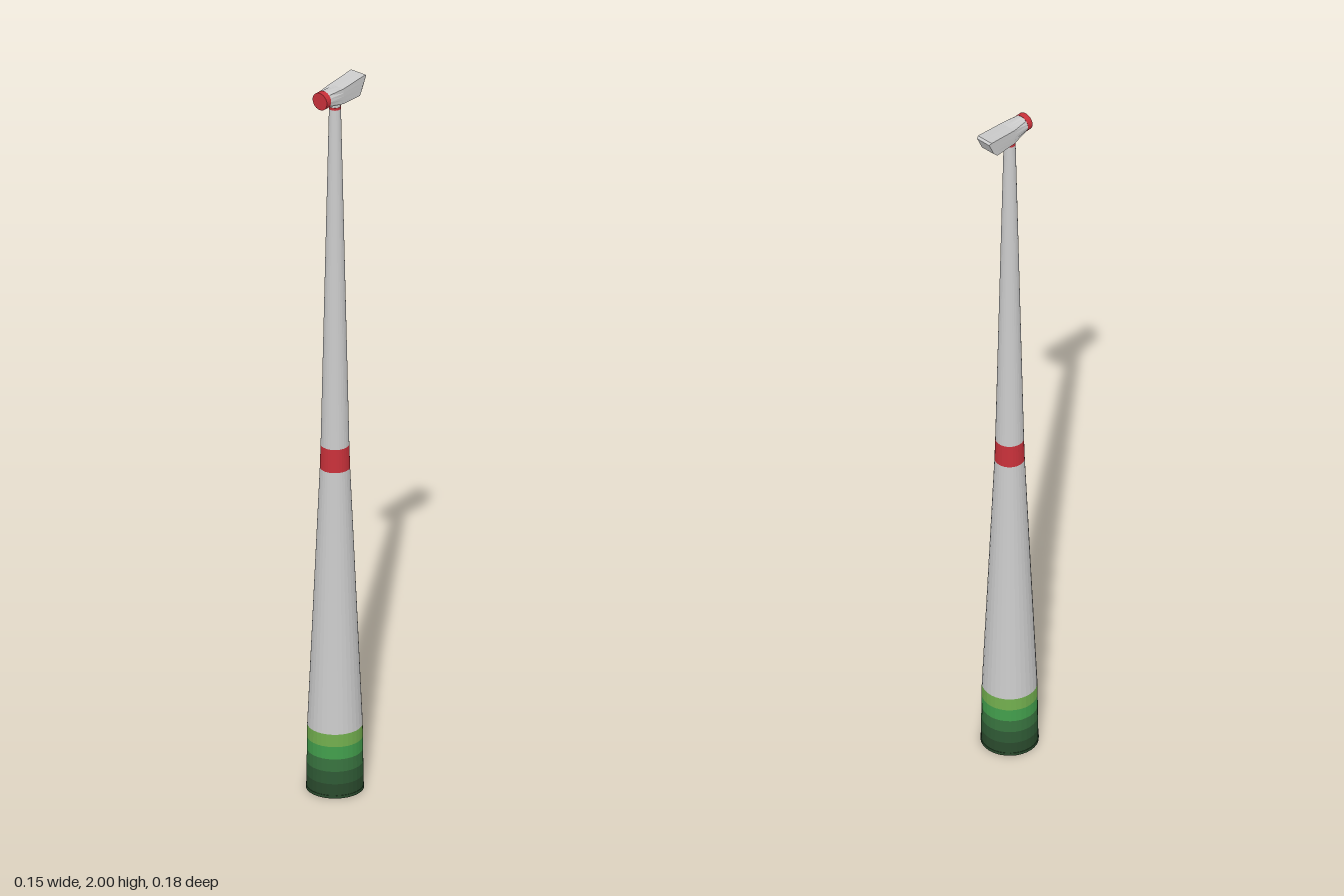
import * as THREE from 'three';

const GREY = 0xcccccc, RED = 0xc8313a, SIDES = 32, AXIS_Z = 0.012;

function mat(color) {
  return new THREE.MeshStandardMaterial({ color, flatShading: true });
}

// One conical slice of the tower; slices share radii so they stack without gaps.
function slice(name, y0, y1, r0, r1, color, open = true) {
  const geo = new THREE.CylinderGeometry(r1, r0, y1 - y0, SIDES, 1, open);
  const mesh = new THREE.Mesh(geo, mat(color));
  mesh.name = name;
  mesh.position.set(0, (y0 + y1) / 2, AXIS_Z);
  return mesh;
}

// Loft along -z through sections that blend from a circle (square 0) to a box (square 1).
function loft(sections, n = 16) {
  const pos = [], idx = [];
  for (const { z, bottom, top, half, square, tilt = 0 } of sections) {
    for (let i = 0; i < n; i++) {
      const a = (i / n) * Math.PI * 2, c = Math.cos(a), s = Math.sin(a);
      const k = THREE.MathUtils.lerp(1, 1 / Math.max(Math.abs(c), Math.abs(s)), square);
      pos.push(c * k * half, (bottom + top) / 2 + s * k * (top - bottom) / 2, z - tilt * s * k);
    }
  }
  for (let j = 0; j < sections.length - 1; j++) {
    for (let i = 0; i < n; i++) {
      const a = j * n + i, b = j * n + (i + 1) % n;
      idx.push(a, a + n, b, b, a + n, b + n);
    }
  }
  const last = (sections.length - 1) * n;
  for (let i = 1; i < n - 1; i++) {
    idx.push(0, i, i + 1, last, last + i + 1, last + i);
  }
  const geo = new THREE.BufferGeometry();
  geo.setAttribute('position', new THREE.Float32BufferAttribute(pos, 3));
  geo.setIndex(idx);
  geo.computeVertexNormals();
  return geo;
}

export function createModel() {
  const model = new THREE.Group();
  model.name = 'windTurbineTower';

  // Foundation collar
  model.add(slice('foundation', 0, 0.008, 0.075, 0.075, 0x2a4a2d, false));

  // Green bands, dark at the ground to light
  const greens = [0x2a4a2d, 0x2f5a35, 0x38733f, 0x429e4c, 0x72ae4e];
  const bandBase = 0.005, bandTop = 0.18, step = (bandTop - bandBase) / greens.length;
  const bandRadius = y => THREE.MathUtils.mapLinear(y, 0, bandTop, 0.074, 0.0715);
  greens.forEach((color, i) => {
    const y0 = bandBase + i * step, y1 = y0 + step;
    model.add(slice('greenBand' + (i + 1), y0, y1, bandRadius(y0), bandRadius(y1), color));
  });

  // Tower shaft with its red warning band
  model.add(slice('lowerTower', 0.18, 0.91, 0.0715, 0.039, GREY));
  model.add(slice('warningBand', 0.91, 0.975, 0.039, 0.037, RED));
  model.add(slice('upperTower', 0.975, 1.932, 0.037, 0.0155, GREY));
  model.add(slice('topRing', 1.932, 1.939, 0.0155, 0.0155, RED, false));
  model.add(slice('yawNeck', 1.939, 1.96, 0.0145, 0.0145, GREY));

  // Nacelle: round behind the hub, boxy to the rear, undercut at the tail
  const nacelle = new THREE.Mesh(loft([
    { z: 0.057, bottom: 1.95, top: 1.996, half: 0.024, square: 0 },
    { z: 0.005, bottom: 1.948, top: 1.992, half: 0.024, square: 0.9 },
    { z: -0.071, bottom: 1.948, top: 2.0, half: 0.024, square: 1, tilt: 0.011 },
    { z: -0.079, bottom: 1.957, top: 1.995, half: 0.021, square: 1, tilt: 0.009 },
  ]), mat(GREY));
  nacelle.name = 'nacelle';
  model.add(nacelle);

  // Hub drum facing forward
  const hub = new THREE.Mesh(new THREE.CylinderGeometry(0.024, 0.024, 0.017, 24), mat(RED));
  hub.name = 'hub';
  hub.rotation.x = Math.PI / 2;
  hub.position.set(0, 1.973, 0.0645);
  model.add(hub);

  return model;
}
